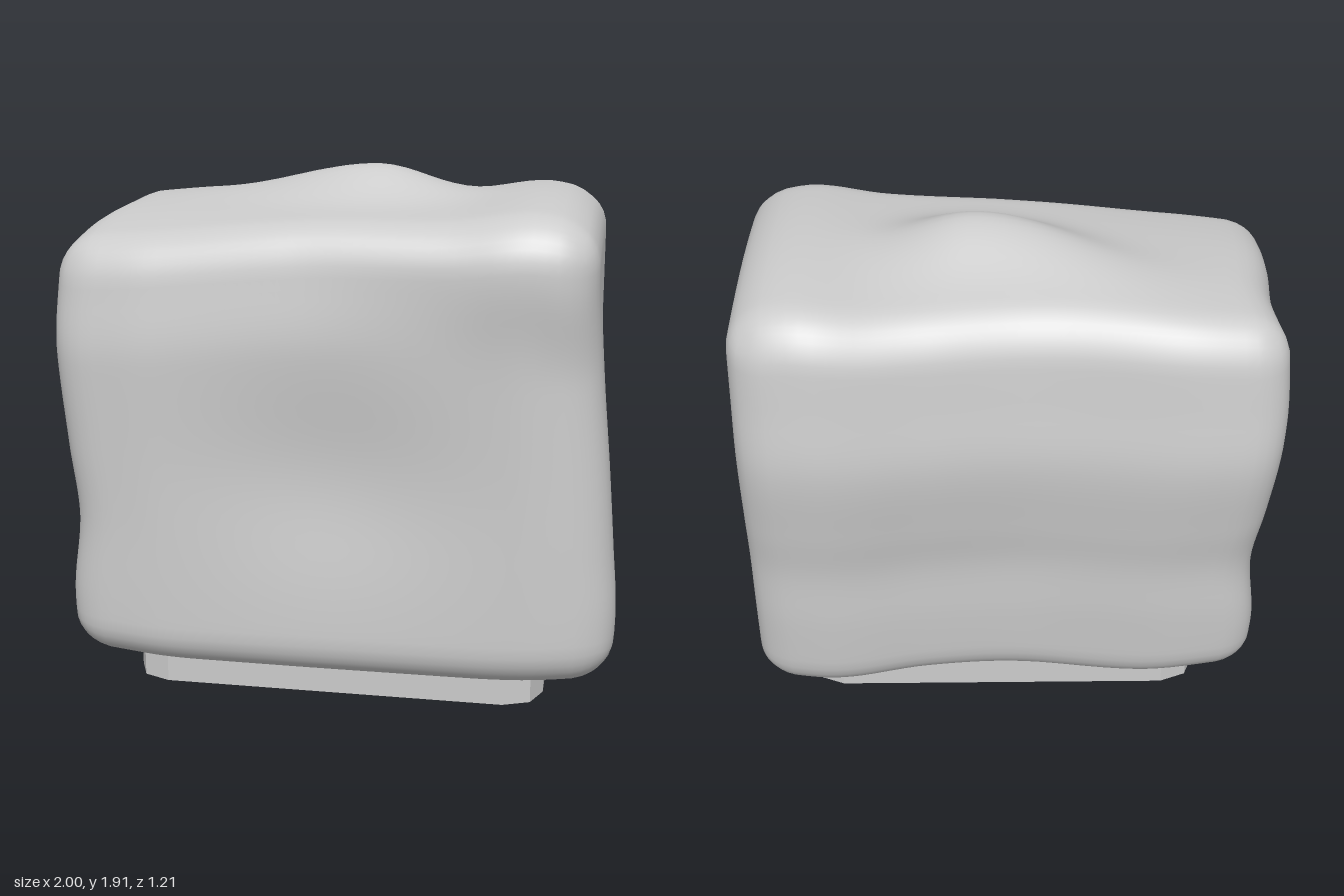
import * as THREE from 'three';
import { mergeVertices } from 'three/addons/utils/BufferGeometryUtils.js';

const { smoothstep, lerp, clamp } = THREE.MathUtils;

// Smooth interpolation through [position, value] pairs
function curve(points) {
  return (t) => {
    const n = points.length;
    if (t <= points[0][0]) return points[0][1];
    if (t >= points[n - 1][0]) return points[n - 1][1];
    const i = points.findIndex((p) => p[0] > t);
    const [a, b] = [points[i - 1], points[i]];
    const slope = (k) => {
      const [p, q] = [points[Math.max(k - 1, 0)], points[Math.min(k + 1, n - 1)]];
      return (q[1] - p[1]) / (q[0] - p[0]);
    };
    const h = b[0] - a[0], s = (t - a[0]) / h, s2 = s * s, s3 = s2 * s;
    return (2 * s3 - 3 * s2 + 1) * a[1] + (s3 - 2 * s2 + s) * h * slope(i - 1)
      + (3 * s2 - 2 * s3) * b[1] + (s3 - s2) * h * slope(i);
  };
}

const bump = (a, b, ra, rb) => Math.exp(-((a / ra) ** 2) - (b / rb) ** 2);

// Side outlines of the soft block
const sidePlus = curve([[0.2, 0.995], [0.4, 1], [0.6, 0.985], [0.9, 0.96], [1.2, 0.93], [1.5, 0.905], [1.7, 0.9]]);
const sideMinus = curve([[0.2, 0.965], [0.4, 0.97], [0.7, 0.94], [1, 0.97], [1.4, 1], [1.7, 0.985]]);
const backByX = curve([[-0.95, 0.55], [-0.6, 0.565], [-0.1, 0.51], [0.3, 0.55], [0.65, 0.605], [0.9, 0.575]]);
const backInset = curve([[0.15, 0.1], [0.5, 0.073], [0.75, 0.063], [0.95, 0.033], [1.25, 0], [1.5, 0.025], [1.75, 0.055]]);
const topByX = curve([[-0.95, 1.738], [-0.6, 1.765], [0, 1.79], [0.45, 1.8], [0.72, 1.835], [0.9, 1.81]]);
const crestZ = (x) => lerp(-0.22, -0.02, smoothstep(x, -0.7, 0.1));

const right = (y, z) => lerp(0.9, sidePlus(y), smoothstep(z, -0.35, 0.42));
const left = (y, z) => -sideMinus(y) + 0.035 * bump(z + 0.18, 0, 0.28, 1);
const front = (x, y) => 0.578
  - 0.05 * bump(x, y - 0.9, 0.45, 0.36)
  + 0.03 * bump(x - 0.68, y - 1.62, 0.2, 0.2)
  - 0.04 * (1 - smoothstep(x, -0.1, 0.5)) * smoothstep(y, 1.35, 1.75)
  - 0.03 * smoothstep(-x, 0.6, 0.95)
  - 0.05 * smoothstep(x, 0.65, 1) * (1 - smoothstep(y, 1.25, 1.6));
const back = (x, y) => -backByX(x) + backInset(y);
const top = (x, z) => topByX(x) - 0.035 * ((z - crestZ(x)) / 0.5) ** 2
  + 0.115 * bump(x - 0.12, z - crestZ(x), x < 0.12 ? 0.47 : 0.27, z < crestZ(x) ? 0.26 : 0.18);
const bottom = (x, z) => 0.14 + 0.02 * smoothstep(Math.abs(x), 0.5, 0.95)
  + 0.025 * smoothstep(-z, 0.1, 0.5) * (1 + 0.6 * Math.sin(5 * x));

// Rounded block whose six faces follow the outlines above
function bodyGeometry() {
  const half = [0.96, 0.83, 0.58], r = 0.145;
  const geo = new THREE.BoxGeometry(half[0] * 2, half[1] * 2, half[2] * 2, 44, 40, 30);
  const pos = geo.attributes.position;
  const p = new THREE.Vector3(), core = new THREE.Vector3();
  for (let i = 0; i < pos.count; i++) {
    p.fromBufferAttribute(pos, i);
    core.set(...['x', 'y', 'z'].map((k, j) => clamp(p[k], r - half[j], half[j] - r)));
    p.sub(core).setLength(r).add(core);
    const { x, z } = p, y = p.y + 0.97;
    pos.setXYZ(i,
      lerp(left(y, z), right(y, z), (p.x / half[0] + 1) / 2),
      lerp(bottom(x, z), top(x, z), (p.y / half[1] + 1) / 2),
      lerp(back(x, y), front(x, y), (p.z / half[2] + 1) / 2));
  }
  geo.deleteAttribute('uv');
  geo.deleteAttribute('normal');
  const merged = mergeVertices(geo, 1e-5);
  merged.computeVertexNormals();
  return merged;
}

// Open band with clipped round corners
function bandGeometry(x0, x1, z0, z1, r, height) {
  const outline = [];
  const corners = [[x1 - r, z1 - r], [x0 + r, z1 - r], [x0 + r, z0 + r], [x1 - r, z0 + r]];
  corners.forEach(([cx, cz], c) => {
    for (let k = 0; k <= 2; k++) {
      const a = (c + k / 2) * Math.PI / 2;
      outline.push([cx + r * Math.cos(a), cz + r * Math.sin(a)]);
    }
  });
  const v = [];
  outline.forEach(([ax, az], i) => {
    const [bx, bz] = outline[(i + 1) % outline.length];
    v.push(ax, 0, az, ax, height, az, bx, height, bz);
    v.push(ax, 0, az, bx, height, bz, bx, 0, bz);
  });
  const geo = new THREE.BufferGeometry();
  geo.setAttribute('position', new THREE.Float32BufferAttribute(v, 3));
  geo.computeVertexNormals();
  return geo;
}

export function createModel() {
  const model = new THREE.Group();
  model.name = 'softBlockOnBase';

  const body = new THREE.Mesh(bodyGeometry(), new THREE.MeshStandardMaterial({ color: 0xcccccc }));
  body.name = 'body';

  const base = new THREE.Mesh(
    bandGeometry(-0.785, 0.748, -0.283, 0.375, 0.14, 0.18),
    new THREE.MeshStandardMaterial({ color: 0xcccccc, flatShading: true, side: THREE.DoubleSide }));
  base.name = 'baseBand';

  model.add(body, base);
  return model;
}
